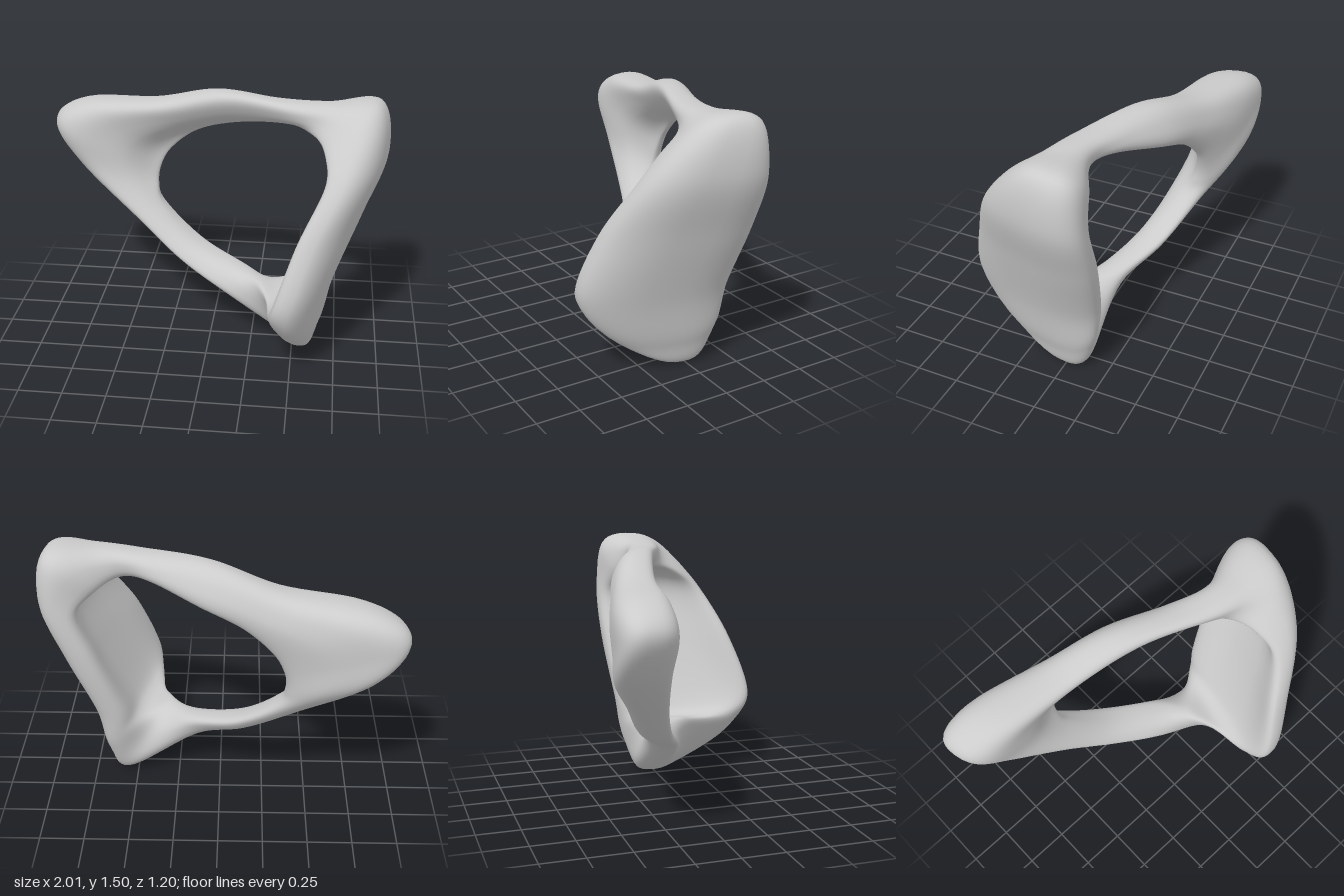
import * as THREE from 'three';

// Sections around the closed loop: outer point, hole-side point,
// front half-width (x, z) and hollow (+ bows and dishes the paddle, - dents and tapers the wing)
const SECTIONS = [
  [0.95, 1.48, -0.08, 0.62, 1.23, 0.02, -0.02, 0.225, 0.45],   // top corner of the paddle
  [0.98, 1.20, 0.035, 0.69, 1.12, 0.045, -0.08, 0.32, 0.7],
  [0.85, 0.85, 0.11, 0.58, 0.85, 0.115, -0.10, 0.39, 0.8],
  [0.705, 0.46, 0.18, 0.45, 0.52, 0.18, -0.09, 0.415, 0.6],
  [0.64, 0.15, 0.12, 0.40, 0.42, 0.14, -0.08, 0.335, 0.25],
  [0.56, 0.00, -0.02, 0.31, 0.41, 0.06, -0.02, 0.16, 0],       // bottom corner
  [0.12, 0.26, -0.05, 0.17, 0.42, -0.10, -0.03, 0.09, 0],      // lower arm
  [-0.18, 0.41, -0.18, -0.10, 0.51, -0.24, -0.03, 0.09, 0],
  [-0.47, 0.62, -0.29, -0.32, 0.69, -0.36, 0.00, 0.10, -0.1],
  [-0.86, 0.935, -0.44, -0.365, 0.80, -0.41, 0.02, 0.14, -0.3], // wing
  [-1.00, 1.18, -0.45, -0.35, 0.92, -0.43, 0.03, 0.15, -0.4],
  [-0.80, 1.32, -0.43, -0.28, 1.04, -0.43, 0.03, 0.14, -0.45],
  [-0.35, 1.37, -0.34, -0.12, 1.17, -0.40, 0.03, 0.11, -0.35],
  [0.03, 1.47, -0.23, 0.12, 1.26, -0.32, 0.04, 0.11, -0.15],   // upper arm
  [0.40, 1.47, -0.10, 0.40, 1.33, -0.15, 0.05, 0.115, 0],
  [0.68, 1.48, -0.05, 0.54, 1.31, -0.04, 0.03, 0.12, 0.1],
];

// Closed Catmull-Rom blend of the section values
function sectionAt(t) {
  const n = SECTIONS.length, k = Math.floor(t), f = t - k;
  const [a, b, c, d] = [-1, 0, 1, 2].map((o) => SECTIONS[(k + o + n) % n]);
  return b.map((v, i) => v + 0.5 * f * (c[i] - a[i]
    + f * (2 * a[i] - 5 * v + 4 * c[i] - d[i] + f * (3 * (v - c[i]) + d[i] - a[i]))));
}

const soften = (v, e) => Math.sign(v) * Math.abs(v) ** e;

function loopGeometry(rings, sides) {
  const positions = [], index = [];
  for (let i = 0; i < rings; i++) {
    const [ox, oy, oz, ix, iy, iz, vx, vz, hollow] = sectionAt(i / rings * SECTIONS.length);
    const centre = new THREE.Vector3(ox + ix, oy + iy, oz + iz).multiplyScalar(0.5);
    const out = new THREE.Vector3(ox - ix, oy - iy, oz - iz).multiplyScalar(0.5);
    const front = new THREE.Vector3(vx, 0, vz);
    const dish = Math.max(hollow, 0), dent = Math.max(-hollow, 0);
    const e = 0.82 - 0.12 * dish;
    for (let j = 0; j < sides; j++) {
      const angle = j / sides * Math.PI * 2;
      const c = Math.cos(angle), s = Math.sin(angle);
      let u = soften(s, e) - 0.4 * dish * c * c;
      let v = soften(c, e) * (1 + dent * s);
      if (s < 0) u += 0.9 * dish * s ** 4;
      if (s < 0 && c > 0) v -= 0.5 * dent * (2 * c * s) ** 2;
      const p = centre.clone().addScaledVector(out, u).addScaledVector(front, v);
      positions.push(p.x, p.y, p.z);
      const i2 = (i + 1) % rings, j2 = (j + 1) % sides;
      const a = i * sides + j, b = i2 * sides + j, d = i2 * sides + j2, f = i * sides + j2;
      index.push(a, b, d, a, d, f);
    }
  }
  const g = new THREE.BufferGeometry();
  g.setAttribute('position', new THREE.Float32BufferAttribute(positions, 3));
  g.setIndex(index);
  // Rest on the ground, centred
  g.computeBoundingBox();
  const mid = g.boundingBox.getCenter(new THREE.Vector3());
  g.translate(-mid.x, -g.boundingBox.min.y, -mid.z);
  g.computeVertexNormals();
  return g;
}

export function createModel() {
  const group = new THREE.Group();
  group.name = 'sculptedLoop';
  const body = new THREE.Mesh(loopGeometry(128, 40),
    new THREE.MeshStandardMaterial({ color: 0xcccccc }));
  body.name = 'loopBody';
  group.add(body);
  return group;
}
